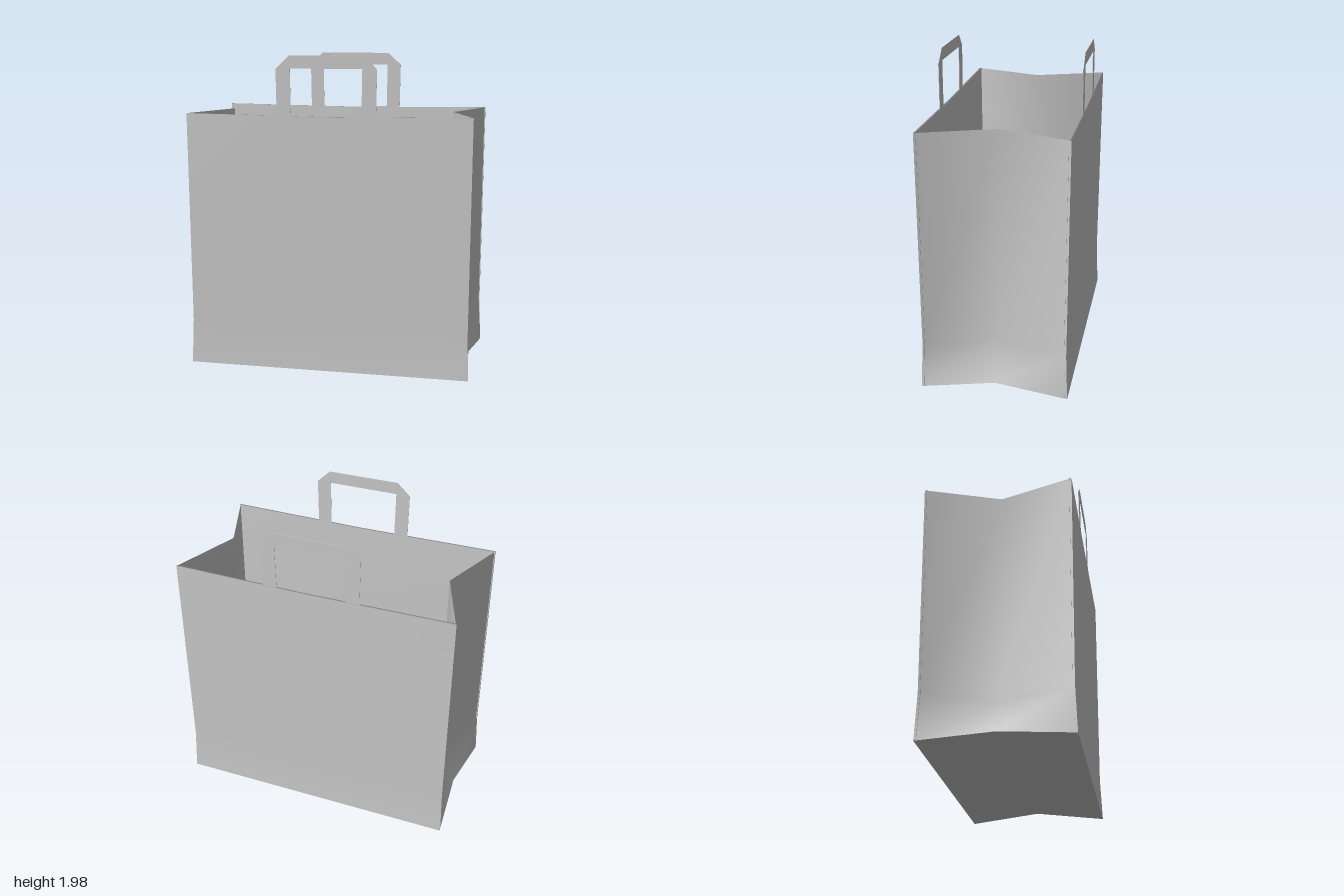
import * as THREE from 'three';

const paper = new THREE.MeshStandardMaterial({ color: 0xcccccc, side: THREE.DoubleSide });

// Smooth sheet through rows of points, each row running left to right, rows bottom to top
function sheet(name, rows) {
  const n = rows[0].length, index = [];
  for (let r = 0; r < rows.length - 1; r++) {
    for (let c = 0; c < n - 1; c++) {
      const a = r * n + c;
      index.push(a, a + 1, a + n + 1, a, a + n + 1, a + n);
    }
  }
  const geo = new THREE.BufferGeometry();
  geo.setAttribute('position', new THREE.Float32BufferAttribute(rows.flat(2), 3));
  geo.setIndex(index);
  geo.computeVertexNormals();
  const mesh = new THREE.Mesh(geo, paper);
  mesh.name = name;
  return mesh;
}

// Cross-sections: height, half width, half depth, half width at the gusset fold.
// The fold runs straight down, then opens out towards the bottom.
const sections = [
  [0, 0.895, 0.452, 0.855],
  [0.28, 0.886, 0.441, 0.726],
  [1.62, 0.895, 0.452, 0.726],
];
const lift = 0.045; // the bottom edge of each gusset is raised in the middle
const thickness = 0.014; // broad panels are double paper

// Half of the bag: one broad panel, one gusset and one handle
function bagHalf() {
  const half = new THREE.Group();
  half.name = 'bagHalf';

  // Outer layer, turned over the rim into the inner layer
  const panelRow = ([y, w, d], inset) => {
    const sag = y > 1 ? 0.01 : 0;
    return [[-w, y, d - inset], [0, y - sag, d - inset], [w, y, d - inset]];
  };
  const outer = sections.map((s) => panelRow(s, 0));
  const inner = sections.map((s) => panelRow(s, thickness)).reverse();
  half.add(sheet('broadPanel', [...outer, ...inner]));

  half.add(sheet('gusset', sections.map(([y, w, d, fold]) => [
    [w, y, d], [fold, y || lift, 0], [w, y, -d],
  ])));

  // Flat paper strip handle with folded corners
  const outline = new THREE.Shape([
    [-0.31, 1.6], [-0.315, 1.9], [-0.23, 1.98], [0.23, 1.98], [0.315, 1.9], [0.31, 1.6],
    [0.22, 1.6], [0.225, 1.902], [-0.225, 1.902], [-0.22, 1.6],
  ].map(([x, y]) => new THREE.Vector2(x, y)));
  const handle = new THREE.Mesh(
    new THREE.ExtrudeGeometry(outline, { depth: 0.003, bevelEnabled: false }), paper);
  handle.position.z = 0.443;
  handle.name = 'handle';
  half.add(handle);
  return half;
}

export function createModel() {
  const bag = new THREE.Group();
  bag.name = 'paperBag';

  // The second half is the first one turned around
  for (const turn of [0, Math.PI]) {
    const half = bagHalf();
    half.rotation.y = turn;
    bag.add(half);
  }

  // Bottom, lifted along its middle towards the gussets
  const [, w, d, fold] = sections[0];
  bag.add(sheet('bottom', [
    [[-w, 0, -d], [0, 0, -d], [w, 0, -d]],
    [[-fold, lift, 0], [0, 0.015, 0], [fold, lift, 0]],
    [[-w, 0, d], [0, 0, d], [w, 0, d]],
  ]));

  bag.rotation.y = THREE.MathUtils.degToRad(29.4);
  const model = new THREE.Group();
  model.add(bag);
  return model;
}
